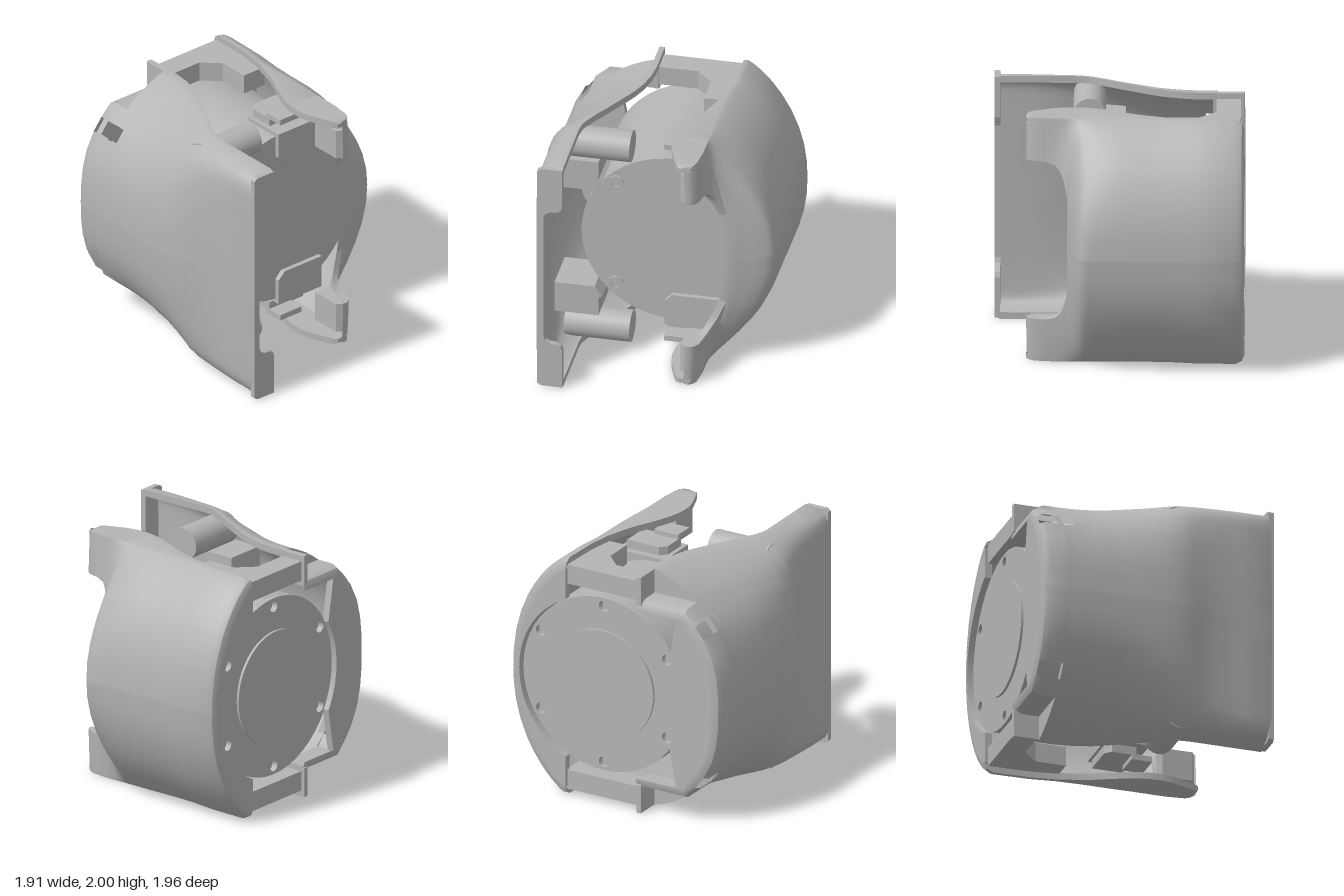
import * as THREE from 'three';
import { toCreasedNormals } from 'three/addons/utils/BufferGeometryUtils.js';
import { RoundedBoxGeometry } from 'three/addons/geometries/RoundedBoxGeometry.js';

const AX = 0.12, R = 0.73; // motor axis x and radius
const FLOOR = 0.8; // pocket floor height above mid height
const STEPS = [1, 0.995, 0.985, 0.97, 0.94, 0.9, 0.85, 0.8, 0.7, 0.6, 0.45, 0.3, 0.15, 0];

// Shell stations: z, edge x, widest x, corner x, curve power, lower end (0 = mid height),
// inset, width towards the rim, top cut height
const LEFT_BODY = [
  [-0.98, 0.44, 0.95, 0.47, 2.2, 0, 0.07], [-0.96, 0.44, 0.95, 0.47, 2.2, 0, 0.025],
  [-0.91, 0.44, 0.95, 0.47, 2.2, 0, 0], [-0.6, 0.43, 0.95, 0.46, 2.2, 0, 0],
  [-0.4, 0.4, 0.95, 0.43, 2.2, 0, 0], [-0.2, 0.34, 0.95, 0.42, 2.2, 0, 0],
  [-0.1, 0.3, 0.95, 0.42, 2.2, 0, 0], [0, 0.25, 0.95, 0.42, 2.2, 0, 0, 0.94],
  [0.1, 0.208, 0.95, 0.42, 2.2, 0, 0, 0.9], [0.18, 0.178, 0.95, 0.42, 2.2, 0, 0, 0.83],
  [0.24, 0.162, 0.95, 0.42, 2.2, 0, 0, 0.76], [0.28, 0.155, 0.94, 0.42, 2.2, 0, 0, 0.7],
  [0.3, 0.152, 0.92, 0.42, 2.2, 0, 0, 0.66], [0.32, 0.15, 0.88, 0.42, 2.2, 0, 0, 0.61],
  [0.35, 0.15, 0.79, 0.42, 2.2, 0, 0, 0.55], [0.375, 0.15, 0.69, 0.42, 2.2, 0, 0, 0.52],
  [0.4, 0.15, 0.62, 0.42, 2.2, 0, 0, 0.5],
];
const LEFT_HOOK = [
  [0.4, 0.15, 0.62, 0.42, 2.2, 0.4, 0, 0.5], [0.43, 0.155, 0.58, 0.42, 2.2, 0.53, 0, 0.48],
  [0.46, 0.16, 0.54, 0.42, 2.2, 0.59, 0, 0.46], [0.5, 0.17, 0.5, 0.42, 2.2, 0.63, 0, 0.45],
  [0.58, 0.2, 0.45, 0.41, 2.2, 0.65, 0], [0.66, 0.23, 0.43, 0.4, 2.2, 0.65, 0],
  [0.7, 0.25, 0.41, 0.38, 2.2, 0.65, 0.005], [0.72, 0.27, 0.39, 0.36, 2.2, 0.65, 0.02],
];
const RIGHT_REAR = [
  [-0.98, 0.2, 0.96, 0.25, 3.6, 0, 0.07, 0.81, FLOOR], [-0.96, 0.2, 0.96, 0.25, 3.6, 0, 0.025, 0.81, FLOOR],
  [-0.91, 0.2, 0.96, 0.25, 3.6, 0, 0, 0.81, FLOOR], [-0.77, 0.2, 0.96, 0.25, 3.6, 0, 0, 0.81, FLOOR],
];
const RIGHT_BODY = [
  [-0.77, 0.2, 0.96, 0.25, 3.6, 0, 0, 0.81], [-0.67, 0.2, 0.96, 0.25, 3.6, 0, 0, 0.81],
  [-0.53, 0.215, 0.96, 0.26, 3.7, 0, 0, 0.81], [-0.4, 0.25, 0.96, 0.29, 3.8, 0, 0, 0.81],
  [-0.3, 0.288, 0.96, 0.32, 4, 0, 0, 0.81], [-0.2, 0.34, 0.96, 0.37, 4.4, 0, 0, 0.81],
  [0, 0.45, 0.96, 0.47, 5.5, 0, 0, 0.81], [0.1, 0.51, 0.955, 0.53, 6.5, 0, 0, 0.82],
  [0.2, 0.56, 0.94, 0.58, 10, 0, 0, 0.82], [0.27, 0.59, 0.92, 0.6, 12, 0, 0, 0.82],
  [0.35, 0.6, 0.89, 0.61, 14, 0, 0, 0.82], [0.5, 0.6, 0.85, 0.61, 18, 0, 0, 0.815],
  [0.7, 0.6, 0.825, 0.61, 24, 0, 0, 0.81], [0.93, 0.6, 0.815, 0.61, 25, 0, 0, 0.81],
  [0.975, 0.6, 0.81, 0.61, 25, 0, 0.02, 0.81],
];

// Upper half of a shell section: points on +x with inward normals
function section([, edge, wide, corner, power, end, , rim = wide, top = 1]) {
  const pts = [[edge, top]];
  for (const k of STEPS) {
    const s = end + (1 - end) * k, w = wide - (wide - rim) * s * s;
    pts.push([corner + (w - corner) * (1 - s ** power) ** 0.8, Math.min(s, top)]);
  }
  const last = pts.length - 1;
  return pts.map((p, i) => {
    if (p[1] === top) return [...p, 0, -1];
    if (i === last && end === 0) return [...p, -1, 0];
    const a = pts[i - 1], b = pts[Math.min(i + 1, last)];
    const dx = b[0] - a[0], dy = b[1] - a[1], l = Math.hypot(dx, dy) || 1;
    return [...p, dy / l, -dx / l];
  });
}

// Thick half shell lofted along z; slot(row, column) leaves faces open
function loft(rows, sx, sy, slot = () => false) {
  const pos = [], idx = [], n = STEPS.length + 1, N = 2 * n;
  for (const row of rows) {
    const inset = row[6], thick = Math.max(0.055, inset + 0.02), sec = section(row);
    const put = (p, d) => pos.push(sx * (p[0] + p[2] * d), 1 + sy * (p[1] + p[3] * d), row[0]);
    sec.forEach((p) => put(p, inset));
    sec.slice().reverse().forEach((p) => put(p, thick));
  }
  const quad = (a, b, c, d) => (sx * sy > 0 ? idx.push(a, b, c, a, c, d) : idx.push(a, c, b, a, d, c));
  for (let i = 0; i < rows.length - 1; i++) {
    for (let j = 0; j < N; j++) {
      if (j === n - 1 && rows[i][5] === 0) continue;
      if (slot(i, j < n ? j : N - 2 - j)) continue;
      const k = (j + 1) % N, a = i * N, b = a + N;
      quad(a + j, b + j, b + k, a + k);
    }
  }
  const f = (rows.length - 1) * N;
  for (let k = 0; k < n - 1; k++) {
    quad(k, k + 1, N - 2 - k, N - 1 - k);
    quad(f + k, f + N - 1 - k, f + N - 2 - k, f + k + 1);
  }
  const g = new THREE.BufferGeometry();
  g.setAttribute('position', new THREE.Float32BufferAttribute(pos, 3));
  g.setIndex(idx);
  return toCreasedNormals(g, 0.6);
}

const polygon = (pts) => new THREE.Shape(pts.map(([x, y]) => new THREE.Vector2(x, y)));
const extrude = (shape, z0, z1) =>
  new THREE.ExtrudeGeometry(shape, { depth: z1 - z0, bevelEnabled: false, curveSegments: 24 }).translate(0, 0, z0);

// Rear wall between the shell outline and the round motor opening
function rearWall(row, sx, limit, r) {
  const half = section(row).map((p) => [p[0] + p[2] * 0.075, p[1] + p[3] * 0.075]).filter((p) => p[0] >= limit);
  const pts = [];
  half.forEach(([x, y]) => pts.push([sx * x, 1 + y]));
  half.slice(0, -1).reverse().forEach(([x, y]) => pts.push([sx * x, 1 - y]));
  const a = Math.acos((limit - sx * AX) / r);
  for (let i = 0; i <= 32; i++) {
    const t = -a + (2 * a * i) / 32;
    pts.push([AX + sx * r * Math.cos(t), 1 + r * Math.sin(t)]);
  }
  return extrude(polygon(pts), -0.978, -0.92);
}

export function createModel() {
  const model = new THREE.Group();
  const grey = new THREE.MeshStandardMaterial({ color: 0xb4b4b4, side: THREE.DoubleSide });
  grey.name = 'grey plastic';
  const add = (name, geometry, parent) => {
    const mesh = new THREE.Mesh(geometry, grey);
    mesh.name = name;
    parent.add(mesh);
  };
  const cylinder = (r, z0, z1, x, y, seg = 64) =>
    new THREE.CylinderGeometry(r, r, z1 - z0, seg).rotateX(Math.PI / 2).translate(x, y, (z0 + z1) / 2);

  const left = new THREE.Group(), right = new THREE.Group(), motor = new THREE.Group();
  left.name = 'leftHousing'; right.name = 'rightHousing'; motor.name = 'motor';
  model.add(left, right, motor);

  add('leftRearWall', rearWall(LEFT_BODY[0], 1, 0.44, R + 0.01), left);
  add('rightRearWall', rearWall(RIGHT_REAR[0], -1, 0.5, R - 0.01), right);

  for (const sy of [1, -1]) {
    const Y = (y) => 1 + sy * (y - 1);
    const box = (name, parent, x0, x1, y0, y1, z0, z1, r = 0.004) =>
      add(name, new RoundedBoxGeometry(x1 - x0, y1 - y0, z1 - z0, 2, r)
        .translate((x0 + x1) / 2, Y((y0 + y1) / 2), (z0 + z1) / 2), parent);
    // Horizontal plate from an outline of x and -z
    const slab = (name, parent, pts, y0, y1) =>
      add(name, extrude(polygon(pts), 0, y1 - y0).rotateX(-Math.PI / 2).translate(0, sy > 0 ? y0 : 2 - y1, 0), parent);

    // Left housing: body, hook, bridge, chamfered blocks and clip
    add('leftShell', loft(LEFT_BODY, 1, sy), left);
    add('leftHook', loft(LEFT_HOOK, 1, sy), left);
    slab('hookCore', left, [[0.28, -0.43], [0.28, -0.68], [0.33, -0.71], [0.38, -0.66], [0.4, -0.55], [0.44, -0.43]], 1.655, 1.9);
    slab('bridge', left, [[-0.22, 0.95], [-0.22, 0.76], [0.11, 0.76], [0.24, 0.63], [0.24, 0.38], [0.45, 0.38], [0.45, 0.95]], 1.79, 1.95);
    slab('innerPlate', left, [[0.06, -0.14], [0.06, 0.06], [0.11, 0.11], [0.4, 0.11], [0.4, -0.14]], 1.79, 1.86);
    const block = polygon([[0.06, 1.76], [0.06, 1.55], [0.12, 1.49], [0.5, 1.49], [0.5, 1.76]].map(([x, y]) => [x, Y(y)]));
    add('innerBlock', extrude(block, -0.11, 0.25), left);
    box('clip', left, 0.06, 0.28, 1.85, 1.9, 0.1, 0.27);

    // Right housing: shell with a rear pocket and slot
    add('rightRearShell', loft(RIGHT_REAR, -1, sy, (row, col) => row > 0 && col === 9), right);
    add('rightShell', loft(RIGHT_BODY, -1, sy, (row, col) => row === 0 && col === 9), right);
    box('pocketRib', right, -0.245, -0.2, 1.76, 2, -0.978, -0.74);
    const rimLine = section(RIGHT_BODY[0]).filter((p) => p[1] >= FLOOR).map((p) => [-p[0], Y(1 + p[1])]);
    add('pocketWall', extrude(polygon([...rimLine, [-0.2, Y(1.78)]]), -0.77, -0.73), right);

    // Post and chamfered bracket
    add('post', new THREE.CylinderGeometry(0.127, 0.127, 0.52, 40).rotateZ(Math.PI / 2).translate(-0.46, Y(1.823), 0.23), right);
    const bracket = polygon([[-0.8, 1.7], [-0.45, 1.7], [-0.45, 1.54], [-0.42, 1.52], [-0.48, 1.44], [-0.8, 1.44]].map(([x, y]) => [x, Y(y)]));
    add('bracket', extrude(bracket, -0.05, 0.33), right);
  }

  // Front flange with a long notch
  const notch = [[-0.8, 1.97], [-0.77, 1.99], [-0.6, 1.99], [-0.6, 1.66], [-0.615, 1.62], [-0.65, 1.605], [-0.7, 1.6], [-0.735, 1.58], [-0.75, 1.54]];
  const flange = polygon([...notch, ...notch.slice().reverse().map(([x, y]) => [x, 2 - y])]);
  add('frontFlange', extrude(flange, 0.93, 0.975), right);

  // Motor: drum, rear plate with recesses, raised hub
  add('motorDrum', toCreasedNormals(cylinder(R, -0.88, 0.21, AX, 1, 96), 0.5), motor);
  const plate = new THREE.Shape().absarc(AX, 1, R, 0, Math.PI * 2);
  for (let i = 0; i < 6; i++) {
    const a = Math.PI / 6 + (i * Math.PI) / 3;
    plate.holes.push(new THREE.Path().absarc(AX + 0.66 * Math.cos(a), 1 + 0.66 * Math.sin(a), 0.045, 0, Math.PI * 2, true));
  }
  add('motorRearPlate', toCreasedNormals(extrude(plate, -0.93, -0.88), 0.5), motor);
  add('motorHub', cylinder(0.46, -0.95, -0.92, AX, 1), motor);

  // Front screws: collar with a sunken head
  for (const y of [0.54, 1.46]) {
    const collar = new THREE.Shape().absarc(-0.335, y, 0.065, 0, Math.PI * 2);
    collar.holes.push(new THREE.Path().absarc(-0.335, y, 0.035, 0, Math.PI * 2, true));
    add('screwCollar', extrude(collar, 0.2, 0.225), motor);
    add('screwHead', cylinder(0.03, 0.2, 0.215, -0.335, y, 24), motor);
  }
  return model;
}
